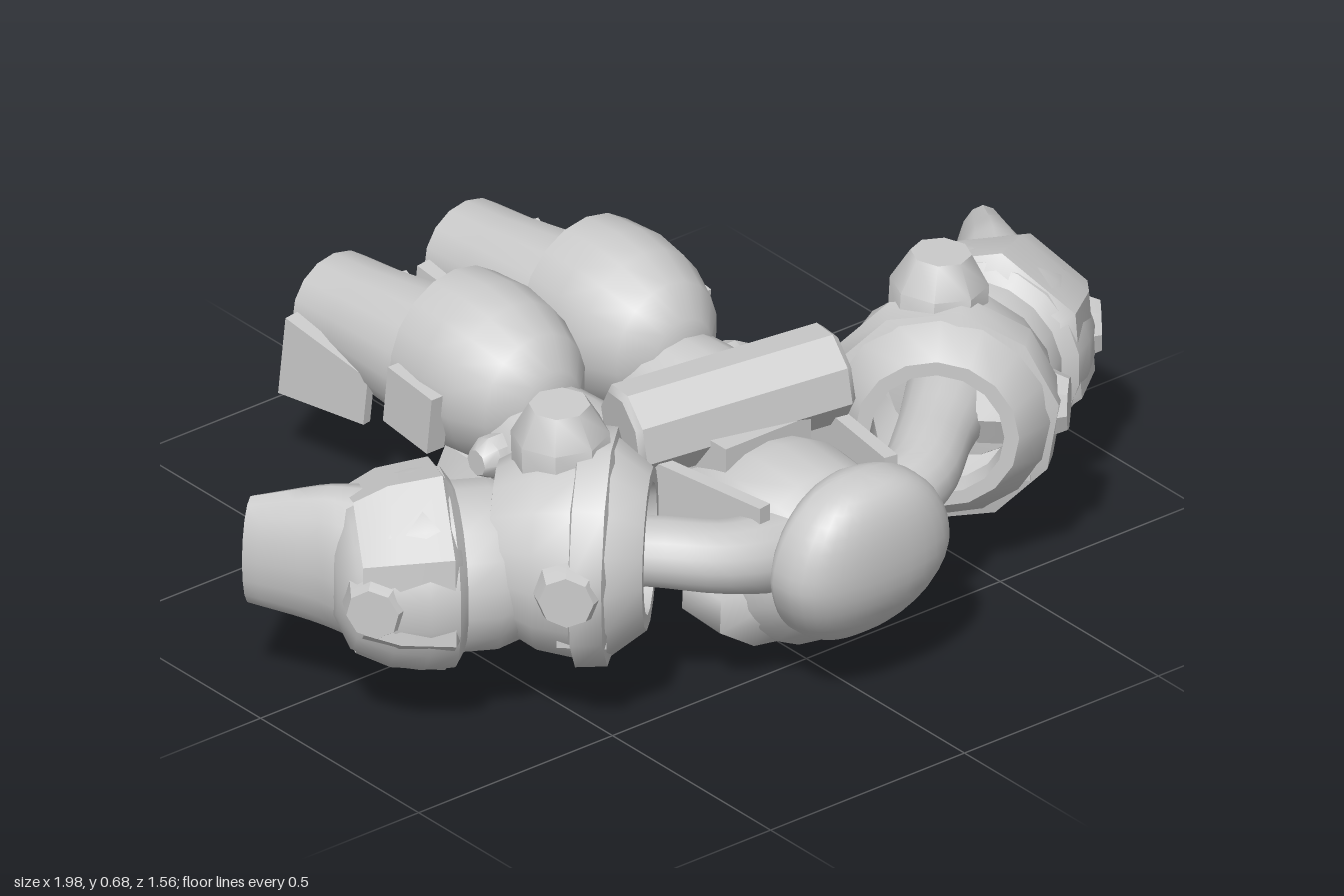
import * as THREE from 'three';
import { toCreasedNormals } from 'three/addons/utils/BufferGeometryUtils.js';

const material = new THREE.MeshStandardMaterial({ color: 0xcccccc, side: THREE.DoubleSide });
const UP = new THREE.Vector3(0, 1, 0);
const v = (x, y, z) => new THREE.Vector3(x, y, z);

export function createModel() {
  const model = new THREE.Group();

  function add(parent, name, geometry, crease = 0.7) {
    const mesh = new THREE.Mesh(toCreasedNormals(geometry, crease), material);
    mesh.name = name;
    parent.add(mesh);
    return mesh;
  }
  // Turned shell: profile of [radius, distance] pairs along a direction
  function turned(parent, name, origin, dir, profile, sides = 16) {
    const geo = new THREE.LatheGeometry(profile.map(([r, t]) => new THREE.Vector2(r, t)), sides);
    const mesh = add(parent, name, geo);
    mesh.position.copy(origin);
    mesh.quaternion.setFromUnitVectors(UP, dir.clone().normalize());
    return mesh;
  }
  // Tapered faceted boss
  const stud = (parent, name, origin, dir, r, h) =>
    turned(parent, name, origin, dir, [[r, 0], [r, h * 0.55], [r * 0.62, h], [0, h]], 8);
  // Smooth limb with upright oval sections: half widths and half heights along a path
  function limb(parent, name, points, widths, heights) {
    const rings = 14, sides = 16;
    const curve = new THREE.CatmullRomCurve3(points);
    const sample = (list, t) => {
      const f = t * (list.length - 1), i = Math.min(Math.floor(f), list.length - 2);
      return THREE.MathUtils.lerp(list[i], list[i + 1], f - i);
    };
    const geo = new THREE.CylinderGeometry(1, 1, 1, sides, rings);
    const p = geo.attributes.position;
    for (let i = 0; i < p.count; i++) {
      const t = p.getY(i) + 0.5;
      const tangent = curve.getPoint(Math.min(t + 0.01, 1)).sub(curve.getPoint(Math.max(t - 0.01, 0)));
      const across = v(tangent.z, 0, -tangent.x).normalize();
      const q = curve.getPoint(t).addScaledVector(across, p.getX(i) * sample(widths, t));
      p.setXYZ(i, q.x, q.y - p.getZ(i) * sample(heights, t), q.z);
    }
    return add(parent, name, geo);
  }
  // Box narrowing to one end, from a to b
  function taperedPlate(parent, name, a, b, height, width, tipHeight, tipWidth) {
    const geo = new THREE.BoxGeometry(width, height, a.distanceTo(b));
    const p = geo.attributes.position;
    for (let i = 0; i < p.count; i++) {
      if (p.getZ(i) > 0) p.setXY(i, p.getX(i) * tipWidth / width, p.getY(i) * tipHeight / height);
    }
    const mesh = add(parent, name, geo, 0.4);
    mesh.position.copy(a).lerp(b, 0.5);
    mesh.lookAt(b);
    return mesh;
  }

  // Helmet: full brow, rounded front, wedge-shaped back and receding chin
  const headGeo = new THREE.SphereGeometry(1, 32, 20);
  const hp = headGeo.attributes.position;
  for (let i = 0; i < hp.count; i++) {
    const x = hp.getX(i), y = hp.getY(i), z = hp.getZ(i);
    const chin = Math.min(y, 0);
    const front = z > 0;
    const depth = front ? 0.13 * z ** 0.6 : 0.12 * z * (1 - 0.5 * Math.abs(x));
    const wide = Math.sign(x) * Math.abs(x) ** 0.88 * 0.205 * (1 + 0.15 * chin);
    hp.setXYZ(i, wide, 0.3 + y * 0.193, 0.645 + depth - 0.05 * chin * chin + 0.015 * y);
  }
  add(model, 'helmet', headGeo, 1.2);

  // Torso
  const torso = new THREE.Group();
  torso.name = 'torso';
  model.add(torso);
  const chest = turned(torso, 'chest', v(0, 0.25, 0.62), v(0, 0, -1),
    [[0, 0], [0.14, 0], [0.19, 0.07], [0.2, 0.2], [0.17, 0.33], [0.13, 0.42], [0, 0.44]], 20);
  chest.scale.x = 1.03;
  const breast = turned(torso, 'breastPlate', v(0, 0.18, 0.57), v(0, 0.05, -1),
    [[0.14, 0], [0.25, 0.05], [0.25, 0.17], [0.16, 0.27]], 10);
  breast.scale.z = 0.5;
  turned(torso, 'waist', v(0, 0.23, 0.3), v(0, 0, -1), [[0.15, 0], [0.13, 0.1], [0.1, 0.17], [0, 0.18]], 14);
  turned(torso, 'backCanister', v(-0.235, 0.46, 0.2), v(0.46, 0.035, 0.115),
    [[0, 0], [0.09, 0], [0.102, 0.012], [0.102, 0.466], [0.09, 0.478], [0, 0.478]], 8);
  const packMount = add(torso, 'packMount', new THREE.BoxGeometry(0.22, 0.12, 0.2));
  packMount.position.set(0, 0.4, 0.28);

  for (const s of [1, -1]) {
    const side = s > 0 ? 'left' : 'right';

    const strap = add(torso, 'shoulderStrap', new THREE.BoxGeometry(0.03, 0.2, 0.3));
    strap.position.set(s * 0.185, 0.33, 0.42);
    strap.rotation.y = -s * 0.15;

    // Arm, swept outward and back
    const arm = new THREE.Group();
    arm.name = side + 'Arm';
    model.add(arm);
    limb(arm, 'innerArm',
      [v(s * 0.1, 0.3, 0.55), v(s * 0.24, 0.33, 0.54), v(s * 0.38, 0.35, 0.44), v(s * 0.56, 0.34, 0.29)],
      [0.09, 0.08, 0.08, 0.1], [0.09, 0.075, 0.07, 0.1]);
    const out = v(s, 0, -1);
    const shoulder = v(s * 0.37, 0.36, 0.46);
    turned(arm, 'shoulderShell', shoulder, out,
      [[0.135, 0.06], [0.135, 0], [0.165, 0], [0.22, 0.07], [0.23, 0.13], [0.215, 0.22], [0.165, 0.31], [0, 0.33]], 16);
    turned(arm, 'shoulderBand', shoulder, out,
      [[0.19, 0.06], [0.24, 0.075], [0.245, 0.14], [0.21, 0.15]], 10);
    stud(arm, 'shoulderTopStud', v(s * 0.485, 0.53, 0.32), v(s * 0.05, 1, 0.02), 0.1, 0.145);
    stud(arm, 'shoulderFrontStud', v(s * 0.52, 0.365, 0.41), v(s * 0.72, 0, 0.7), 0.09, 0.18);
    const tab = add(arm, 'shoulderTab', new THREE.BoxGeometry(0.1, 0.13, 0.04));
    tab.position.set(s * 0.57, 0.29, 0.49);
    tab.rotation.y = s * 0.75;

    // Forearm armour, cuff and guard
    const fore = v(s * 0.87, 0, -0.5);
    const elbow = v(s * 0.54, 0.325, 0.3);
    turned(arm, 'forearm', elbow, fore,
      [[0, 0], [0.15, 0.02], [0.175, 0.09], [0.175, 0.16], [0.205, 0.18], [0.205, 0.24],
        [0.19, 0.31], [0.15, 0.38], [0.08, 0.41], [0, 0.415]], 18);
    const guard = turned(arm, 'forearmGuard', elbow, fore,
      [[0.19, 0.17], [0.22, 0.19], [0.205, 0.3], [0.17, 0.37]], 7);
    guard.position.y += 0.01;
    stud(arm, 'forearmStud', v(s * 0.79, 0.33, 0.17), v(s * 0.75, 0, 0.55), 0.088, 0.185);

    // Hand reaching back, with a hooked thumb beneath
    limb(arm, 'hand',
      [v(s * 0.72, 0.33, 0.2), v(s * 0.8, 0.33, 0.12), v(s * 0.86, 0.335, 0.03), v(s * 0.945, 0.32, -0.1)],
      [0.15, 0.13, 0.085, 0.055], [0.17, 0.17, 0.155, 0.12]);
    taperedPlate(arm, 'thumb', v(s * 0.76, 0.25, 0.11), v(s * 0.79, 0.2, -0.09), 0.17, 0.18, 0.09, 0.07);

    // Leg, stretched straight back
    const leg = new THREE.Group();
    leg.name = side + 'Leg';
    model.add(leg);
    const x = s * 0.17;
    limb(leg, 'hip', [v(s * 0.07, 0.22, 0.28), v(s * 0.125, 0.21, 0.16), v(x, 0.24, 0)],
      [0.08, 0.08, 0.11], [0.1, 0.09, 0.1]);
    turned(leg, 'thigh', v(x, 0.235, 0.11), v(0, 0.2, -1),
      [[0, 0], [0.13, 0], [0.15, 0.02], [0.145, 0.17], [0.12, 0.3], [0, 0.31]], 16);
    stud(leg, 'hipStud', v(s * 0.28, 0.3, -0.115), v(s, 0, 0), 0.045, 0.07);
    const shell = turned(leg, 'kneeShell', v(x, 0.37, -0.09), v(0, 0.03, -1),
      [[0, 0], [0.08, 0.01], [0.14, 0.06], [0.175, 0.14], [0.185, 0.22], [0.175, 0.32], [0.135, 0.33]], 18);
    shell.scale.x = 0.93;
    turned(leg, 'calf', v(x, 0.34, -0.36), v(0, -0.06, -1),
      [[0, 0], [0.14, 0.02], [0.14, 0.1], [0.118, 0.3], [0.112, 0.42], [0, 0.42]], 16);
    const pad = turned(leg, 'kneePad', v(x, 0.14, -0.105), v(0, 0.03, -1),
      [[0, 0], [0.09, 0], [0.112, 0.015], [0.108, 0.16], [0.085, 0.24], [0, 0.25]], 8);
    pad.scale.x = 1.2;
    stud(leg, 'kneeStud', v(x, 0.12, -0.22), v(0, -1, -0.12), 0.085, 0.12);
    for (const k of [1, -1]) {
      const plate = add(leg, 'kneeSidePlate', new THREE.BoxGeometry(0.045, 0.13, 0.14));
      plate.position.set(x + k * s * (k > 0 ? 0.168 : 0.14), 0.335, -0.32);
      plate.rotation.x = 0.12;
    }

    // Fins flanking the lower calf
    for (const k of [1, -1]) {
      taperedPlate(leg, 'calfFin', v(x + k * 0.11, 0.235, -0.54), v(x + k * 0.14, 0.26, -0.76), 0.11, 0.02, 0.18, 0.035);
    }
  }
  return model;
}
